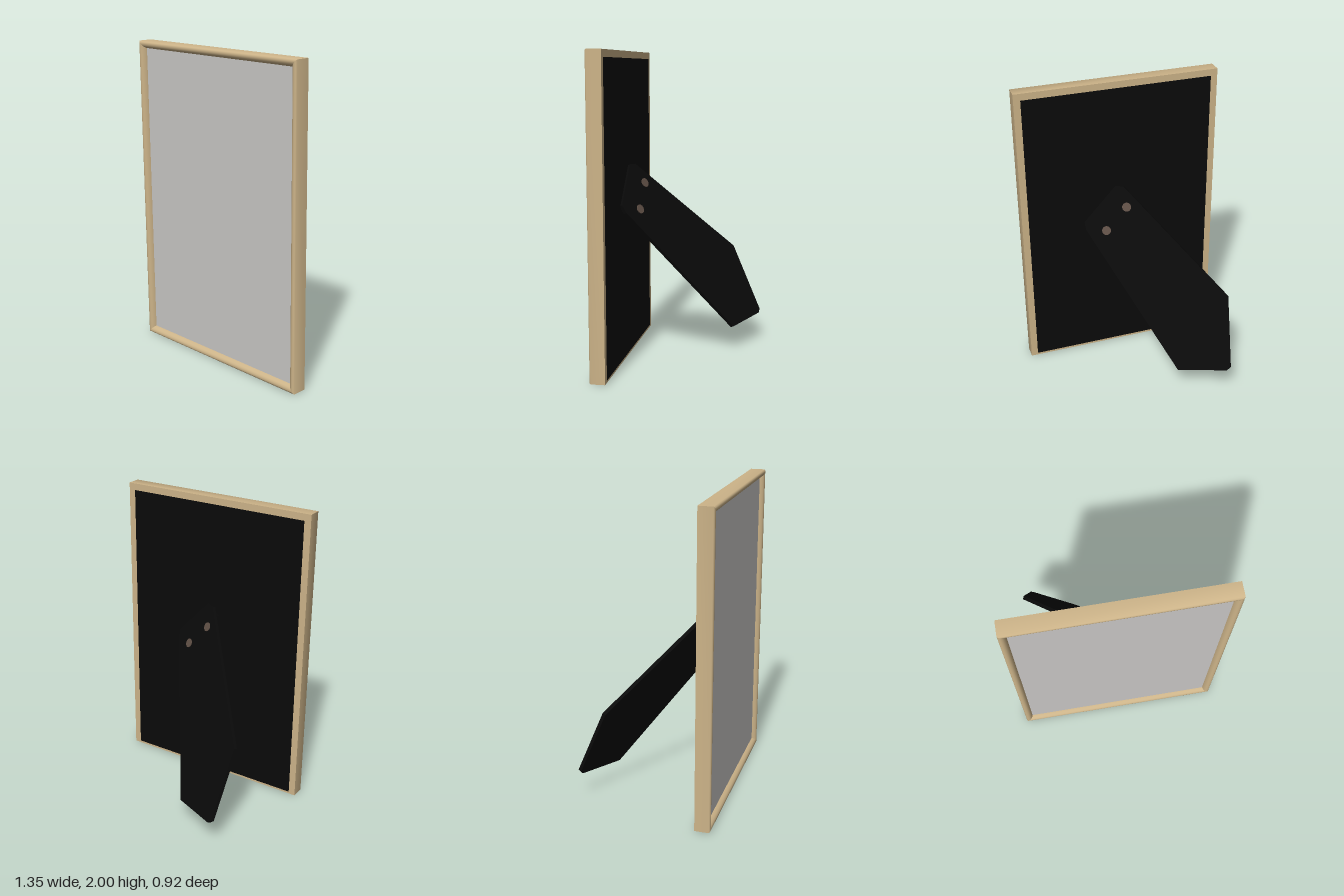
import * as THREE from 'three';
import { toCreasedNormals } from 'three/addons/utils/BufferGeometryUtils.js';

const wood = new THREE.MeshStandardMaterial({ name: 'pale wood', color: 0xcdb489 });
const glass = new THREE.MeshStandardMaterial({ name: 'grey glass', color: 0xcac8c6 });
const black = new THREE.MeshStandardMaterial({ name: 'black board', color: 0x0a0a0a });
const bronze = new THREE.MeshStandardMaterial({ name: 'bronze', color: 0x5f4f45 });

const HALF_W = 0.675, HALF_H = 1;

function add(parent, name, geometry, material, x = 0, y = 0, z = 0) {
  const mesh = new THREE.Mesh(geometry, material);
  mesh.name = name;
  mesh.position.set(x, y, z);
  parent.add(mesh);
  return mesh;
}

// Mitred rail: profile is (distance inward, z), its ends shorten as it goes inward
function railGeometry(halfLength, halfOffset) {
  const profile = new THREE.Shape([
    [0, 0.355], [0.048, 0.355], [0.048, 0.42], [0.042, 0.435], [0.035, 0.446],
    [0.026, 0.453], [0.015, 0.455], [0.006, 0.453], [0, 0.446],
  ].map(([u, z]) => new THREE.Vector2(u, z)));
  const geo = new THREE.ExtrudeGeometry(profile, { depth: 1, bevelEnabled: false });
  const p = geo.attributes.position;
  for (let i = 0; i < p.count; i++) {
    const u = p.getX(i), z = p.getY(i), t = p.getZ(i);
    p.setXYZ(i, (t * 2 - 1) * (halfLength - u), u - halfOffset, z);
  }
  return toCreasedNormals(geo, 0.75);
}

// Group whose local axes are across, down and their cross product (outward)
function alignedGroup(name, origin, across, down) {
  const group = new THREE.Group();
  group.name = name;
  const out = new THREE.Vector3().crossVectors(across, down);
  group.quaternion.setFromRotationMatrix(new THREE.Matrix4().makeBasis(across, down, out));
  group.position.copy(origin);
  return group;
}

export function createModel() {
  const model = new THREE.Group();
  model.name = 'pictureFrame';

  // Four mitred rails
  const frame = new THREE.Group();
  frame.name = 'frame';
  frame.position.y = HALF_H;
  ['bottomRail', 'leftRail', 'topRail', 'rightRail'].forEach((name, i) => {
    const geo = i % 2 ? railGeometry(HALF_H, HALF_W) : railGeometry(HALF_W, HALF_H);
    add(frame, name, geo, wood).rotation.z = i * Math.PI / 2;
  });
  model.add(frame);

  // Glass pane and backing board
  add(model, 'glassPane', new THREE.BoxGeometry(1.26, 1.91, 0.008), glass, 0, 1, 0.421);
  add(model, 'backingBoard', new THREE.BoxGeometry(1.26, 1.94, 0.02), black, 0, 0.985, 0.3635);

  // Slanted hinge plate on the backing
  const origin = new THREE.Vector3(0.14, 1.15, 0.35);
  const across = new THREE.Vector3(0.68, -0.73, 0).normalize();
  const flatDown = new THREE.Vector3(-0.73, -0.68, 0).normalize();
  const hinge = alignedGroup('hinge', origin, across, flatDown);
  add(hinge, 'hingePlate', new THREE.BoxGeometry(0.324, 0.1, 0.004), black, 0, 0.05, 0.006);
  model.add(hinge);

  // Easel leg, swung out from the hinge
  const down = flatDown.clone().multiplyScalar(0.811).add(new THREE.Vector3(0, 0, -0.585)).normalize();
  const leg = alignedGroup('easelLeg', origin, across, down);
  const outline = new THREE.Shape([
    [-0.162, 0], [0.162, 0], [0.195, 0.045], [0.505, 1.13], [0.285, 1.375],
    [0.25, 1.38], [-0.1, 1.05], [-0.195, 0.045],
  ].map(([x, y]) => new THREE.Vector2(x, y)));
  const board = new THREE.ExtrudeGeometry(outline, { depth: 0.024, bevelEnabled: false });
  add(leg, 'legBoard', board, black, 0, 0, -0.012);

  // Rivets
  for (const side of [-1, 1]) {
    const rivet = new THREE.CylinderGeometry(0.03, 0.03, 0.008, 24).rotateX(Math.PI / 2);
    add(leg, side < 0 ? 'upperRivet' : 'lowerRivet', rivet, bronze, side * 0.105, 0.15, 0.013);
  }
  model.add(leg);
  return model;
}
